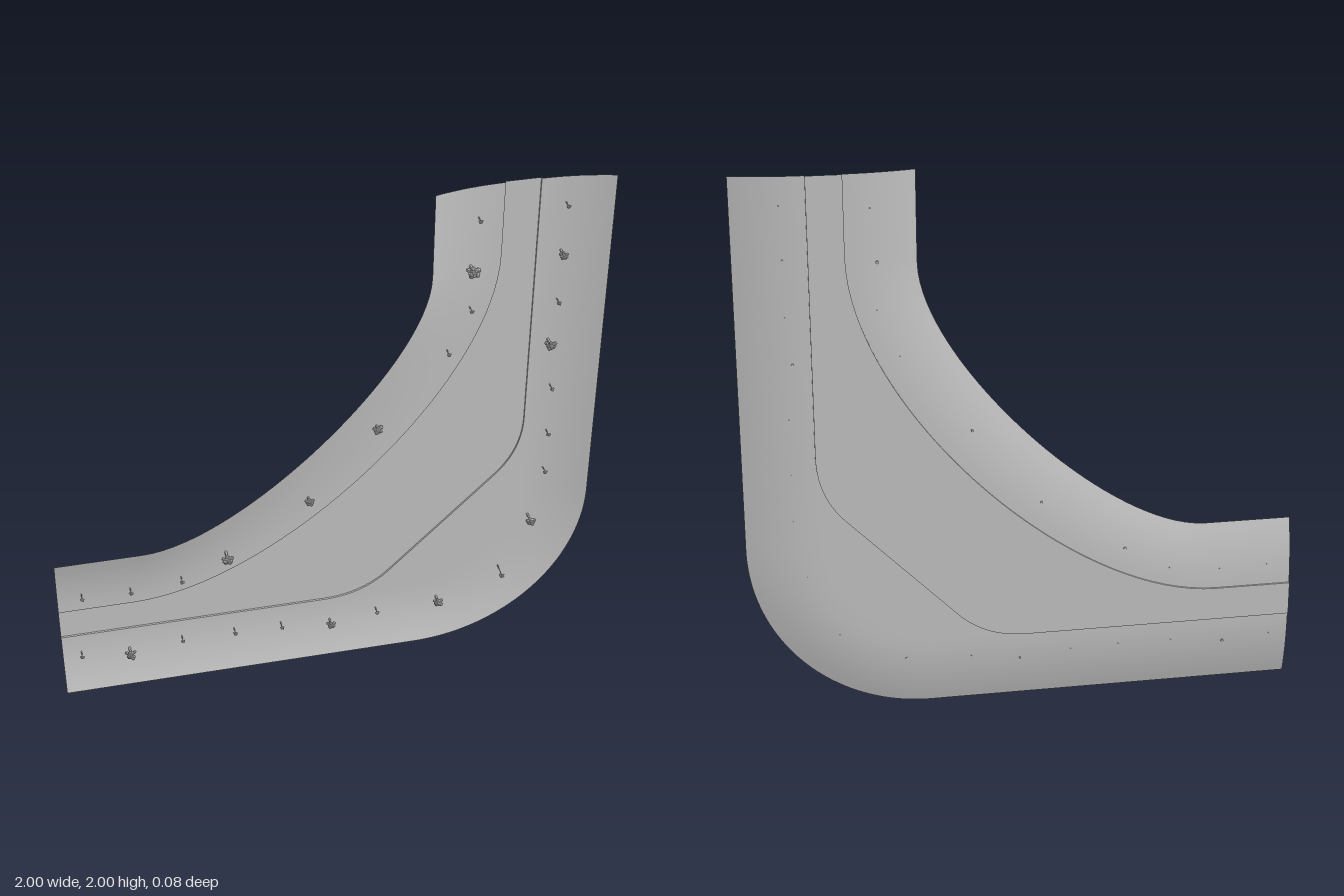
import * as THREE from 'three';
import { mergeGeometries } from 'three/addons/utils/BufferGeometryUtils.js';

const GREY = new THREE.MeshStandardMaterial({ color: 0xcccccc, side: THREE.DoubleSide });
const BANK_Z = -0.033, WATER_Z = -0.04, STEPS = 40;

// The bend is symmetric about its diagonal: (x, y) <-> (1 - y, 1 - x)
const mirror = ([x, y]) => [1 - y, 1 - x];

// Straight run from x = -1, a bend, then the mirrored straight run up to y = 2
function bendLine(start, drawBend) {
  const path = new THREE.Path().moveTo(...start);
  drawBend(path);
  const first = [-1, start[1]];
  const points = path.getSpacedPoints(STEPS).map(p => [p.x, p.y]);
  return [first, ...points, mirror(first)];
}
const bezierLine = (start, c) => bendLine(start, p =>
  p.bezierCurveTo(c, start[1], ...mirror([c, start[1]]), ...mirror(start)));

// Surface between two lines, with z given by a rule of (v, x, y)
function sheet(a, b, rows, zRule) {
  const pos = [], index = [], n = a.length;
  for (let j = 0; j <= rows; j++) {
    const v = j / rows;
    for (let i = 0; i < n; i++) {
      const x = a[i][0] + (b[i][0] - a[i][0]) * v;
      const y = a[i][1] + (b[i][1] - a[i][1]) * v;
      pos.push(x, y, zRule(v, x, y));
    }
  }
  for (let j = 0; j < rows; j++) {
    for (let i = 0; i < n - 1; i++) {
      const k = j * n + i;
      index.push(k, k + n, k + 1, k + 1, k + n, k + n + 1);
    }
  }
  const g = new THREE.BufferGeometry();
  g.setAttribute('position', new THREE.Float32BufferAttribute(pos, 3));
  g.setIndex(index);
  g.computeVertexNormals();
  return g;
}

// Concave bank: 0 at the rim, easing down to the bank floor
const bankZ = t => BANK_Z * (1 - (1 - Math.min(Math.max(t, 0), 1)) ** 2);
// Distance inward from the rounded outer rim
const rimDistance = (x, y) => x > 0.35 && y < 0.65
  ? 0.65 - Math.hypot(x - 0.35, y - 0.65) : Math.min(y, 1 - x);

let seed = 7;
const rand = () => (seed = (seed * 16807) % 2147483647) / 2147483647;

// Bushy plant: short stem and a crown of small faceted blobs
function plantGeometry(x, y, baseZ, radius, topZ) {
  const parts = [];
  const crownZ = topZ - radius * 0.65;
  const length = crownZ - baseZ + 0.004;
  const stem = new THREE.CylinderGeometry(radius * 0.15, radius * 0.22, length, 5).toNonIndexed();
  stem.rotateX(Math.PI / 2).translate(x, y, (crownZ + baseZ - 0.004) / 2);
  parts.push(stem);
  for (let i = 0; i < 11; i++) {
    const angle = i * 2.4, out = radius * 0.72 * Math.sqrt(i / 11);
    const blob = new THREE.IcosahedronGeometry(radius * (0.28 + 0.1 * rand()), 0);
    blob.rotateZ(rand() * 3);
    blob.translate(x + Math.cos(angle) * out, y + Math.sin(angle) * out,
      crownZ + radius * (0.3 - 0.7 * rand() * i / 11));
    parts.push(blob);
  }
  return mergeGeometries(parts);
}

export function createModel() {
  const group = new THREE.Group();
  const add = (name, geometry, material = GREY) => {
    const mesh = new THREE.Mesh(geometry, material);
    mesh.name = name;
    group.add(mesh);
  };

  // Guide lines from the inside of the bend to the outside
  const innerRim = bezierLine([-0.68, 0.63], -0.32);
  const innerShore = bezierLine([-0.72, 0.38], -0.173);
  const outerShore = bendLine([0, 0.255], p => {
    p.quadraticCurveTo(0.15, 0.255, 0.25, 0.355);
    p.lineTo(...mirror([0.25, 0.355]));
    p.quadraticCurveTo(...mirror([0.15, 0.255]), ...mirror([0, 0.255]));
  });
  const outerRim = bendLine([0.35, 0], p => p.absarc(0.35, 0.65, 0.65, -Math.PI / 2, 0, false));

  // Banks, channel walls and river bed
  add('innerBank', sheet(innerShore, innerRim, 8, v => bankZ(1 - v)));
  add('outerBank', sheet(outerRim, outerShore, 12, (v, x, y) => bankZ(rimDistance(x, y) / 0.25)));
  add('riverBed', sheet(outerShore, innerShore, 1, () => WATER_Z));
  const wallZ = v => WATER_Z + (BANK_Z - WATER_Z) * v;
  add('innerChannelWall', sheet(innerShore, innerShore, 1, wallZ));
  add('outerChannelWall', sheet(outerShore, outerShore, 1, wallZ));

  // Plants along both banks: x, y, crown radius, top z
  const bushes = [
    [0.51, 1.69, 0.028, 0.033], [0.83, 1.71, 0.02, 0.02], [0.81, 1.34, 0.025, 0.024],
    [0.19, 1.06, 0.023, 0.012], [-0.06, 0.77, 0.021, 0.01], [-0.37, 0.565, 0.027, 0.032],
    [-0.75, 0.16, 0.025, 0.026], [0.02, 0.155, 0.02, 0.018], [0.44, 0.19, 0.023, 0.02],
    [0.785, 0.54, 0.022, 0.025]
  ];
  const sprouts = [
    [0.53, 1.88], [0.835, 1.9], [0.515, 1.52], [0.83, 1.51], [0.44, 1.35], [0.83, 1.14],
    [0.83, 0.935], [0.83, 0.76], [-0.91, 0.46], [-0.73, 0.455], [-0.54, 0.475], [-0.93, 0.175],
    [-0.55, 0.18], [-0.35, 0.18], [-0.17, 0.175], [0.2, 0.18]
  ].map(([x, y]) => [x, y, 0.01, 0.008]);
  sprouts.push([0.68, 0.305, 0.012, 0.04]);

  const foliage = GREY.clone();
  foliage.flatShading = true;
  for (const [name, list] of [['bush', bushes], ['sprout', sprouts]]) {
    for (const [x, y, radius, top] of list) {
      add(name, plantGeometry(x, y, BANK_Z + 0.003, radius, top), foliage);
    }
  }
  return group;
}
